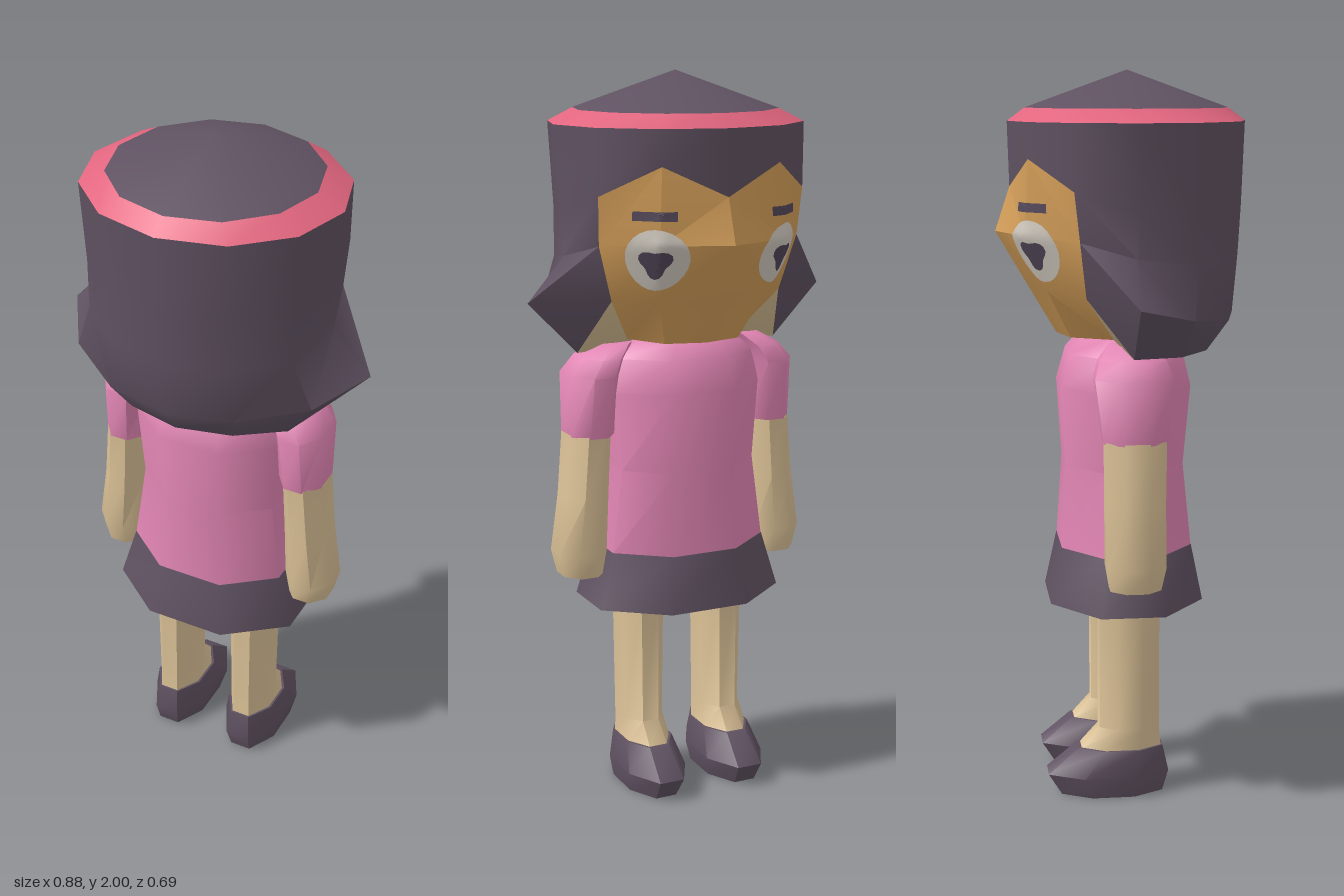
import * as THREE from 'three';
import { toCreasedNormals } from 'three/addons/utils/BufferGeometryUtils.js';

const paint = (name, color) => Object.assign(new THREE.MeshStandardMaterial({ color }), { name });

// Turns a flat list of Vector3 corners (three per triangle) into a mesh
function meshFrom(name, corners, material, crease = 0.7) {
  let geo = new THREE.BufferGeometry().setFromPoints(corners);
  geo = toCreasedNormals(geo, crease);
  const mesh = new THREE.Mesh(geo, material);
  mesh.name = name;
  return mesh;
}

// Horizontal elliptical ring, anticlockwise from above; sides flat against the axes
function ring(y, cx, cz, rx, rz, n = 8) {
  const grow = 1 / Math.cos(Math.PI / n);
  return Array.from({ length: n }, (_, i) => {
    const a = ((i + 0.5) / n) * Math.PI * 2;
    return new THREE.Vector3(cx + Math.cos(a) * rx * grow, y, cz - Math.sin(a) * rz * grow);
  });
}

// Closed skin over rings listed from bottom to top
function loft(name, rings, material, crease) {
  const out = [];
  const n = rings[0].length;
  for (let r = 0; r < rings.length - 1; r++) {
    for (let i = 0; i < n; i++) {
      const j = (i + 1) % n, lo = rings[r], hi = rings[r + 1];
      out.push(lo[i], lo[j], hi[j], lo[i], hi[j], hi[i]);
    }
  }
  const bottom = rings[0], top = rings[rings.length - 1];
  for (let i = 1; i < n - 1; i++) {
    out.push(bottom[0], bottom[i + 1], bottom[i], top[0], top[i], top[i + 1]);
  }
  return meshFrom(name, out, material, crease);
}

export function createModel() {
  const hairMat = paint('dark plum', 0x605262);
  const bandMat = paint('rose band', 0xe2667f);
  const faceMat = paint('face tan', 0xd6a05a);
  const skinMat = paint('pale skin', 0xdcc297);
  const shirtMat = paint('pink shirt', 0xe286b4);
  const whiteMat = paint('eye white', 0xd6cfc4);
  const pupilMat = paint('pupil dark', 0x54485a);

  const model = new THREE.Group();
  model.name = 'girl';

  // Head: half rows of seven columns, from the face centre (-z) round to the back
  const V = (x, y, z) => new THREE.Vector3(x, y, z);
  const halfRing = (y, rx, rz) => Array.from({ length: 7 }, (_, i) => {
    const a = (i / 6) * Math.PI;
    return V(Math.sin(a) * rx, y, 0.015 - Math.cos(a) * rz);
  });
  const inner = halfRing(1.9, 0.28, 0.277);
  const rows = [
    halfRing(1.865, 0.353, 0.325),
    [V(0, 1.69, -0.305), V(0.17, 1.77, -0.265), V(0.3, 1.69, -0.155), V(0.337, 1.64, 0.01),
      V(0.295, 1.64, 0.17), V(0.17, 1.64, 0.285), V(0, 1.64, 0.332)],
    [V(0, 1.57, -0.345), V(0.18, 1.57, -0.275), V(0.293, 1.56, -0.14), V(0.333, 1.52, 0.005),
      V(0.295, 1.5, 0.17), V(0.17, 1.5, 0.282), V(0, 1.5, 0.324)],
    [V(0, 1.42, -0.257), V(0.155, 1.42, -0.215), V(0.25, 1.41, -0.12), V(0.44, 1.4, 0),
      V(0.345, 1.36, 0.155), V(0.18, 1.34, 0.27), V(0, 1.34, 0.31)],
    [V(0, 1.29, -0.18), V(0.11, 1.29, -0.15), V(0.17, 1.29, -0.04), V(0.3, 1.255, 0),
      V(0.27, 1.255, 0.13), V(0.15, 1.255, 0.215), V(0, 1.255, 0.25)],
  ];
  const bins = { cap: [], band: [], hair: [], face: [], jaw: [] };
  const flip = (p) => V(-p.x, p.y, p.z);
  const tri = (bin, a, b, c) => bins[bin].push(a, b, c, flip(a), flip(c), flip(b));
  const apex = V(0, 2, 0.015), under = V(0, 1.27, 0.02);
  for (let i = 0; i < 6; i++) {
    tri('cap', apex, inner[i + 1], inner[i]);
    tri('band', inner[i], inner[i + 1], rows[0][i + 1]);
    tri('band', inner[i], rows[0][i + 1], rows[0][i]);
    for (let r = 0; r < 4; r++) {
      const up = rows[r], low = rows[r + 1];
      const bin = r > 0 && i < 2 ? 'face' : 'hair';
      tri(bin, up[i], up[i + 1], low[i + 1]);
      tri(r === 3 && i === 2 ? 'jaw' : bin, up[i], low[i + 1], low[i]);
    }
    tri(i < 3 ? 'jaw' : 'hair', rows[4][i], rows[4][i + 1], under);
  }
  const head = new THREE.Group();
  head.name = 'head';
  head.add(
    meshFrom('hairCrown', bins.cap, hairMat),
    meshFrom('headband', bins.band, bandMat),
    meshFrom('hair', bins.hair, hairMat, 0.8),
    meshFrom('face', bins.face, faceMat, 0.6),
    meshFrom('jaw', bins.jaw, skinMat),
  );

  // Point on the face: u counts columns from the centre, lift stands off the skin
  function facePoint(u, y, lift) {
    const onColumn = (c) => {
      const r = y > rows[2][c].y ? 1 : 2;
      const a = rows[r][c], b = rows[r + 1][c];
      return a.clone().lerp(b, (a.y - y) / (a.y - b.y));
    };
    const c = Math.min(1, Math.floor(u));
    const p = onColumn(c).lerp(onColumn(c + 1), u - c);
    const k = 1 + lift / Math.hypot(p.x, p.z);
    return V(p.x * k, y, p.z * k);
  }
  // Thin disc that follows the face; shape gives the radius at each angle
  function decal(name, u0, y0, ru, ry, lift, shape, material) {
    const out = [], rings = 6, n = 24;
    const at = (r, i) => {
      const a = (i / n) * Math.PI * 2, s = (r / rings) * shape(a);
      return facePoint(u0 + Math.cos(a) * ru * s, y0 + Math.sin(a) * ry * s, lift);
    };
    for (let r = 0; r < rings; r++) {
      for (let i = 0; i < n; i++) {
        const a = at(r, i), b = at(r + 1, i), c = at(r + 1, i + 1), d = at(r, i + 1);
        out.push(a, c, b);
        if (r > 0) out.push(a, d, c);
      }
    }
    const both = [...out];
    for (let i = 0; i < out.length; i += 3) both.push(flip(out[i]), flip(out[i + 2]), flip(out[i + 1]));
    head.add(meshFrom(name, both, material, 0.6));
  }
  const box = (a) => 1 / Math.max(Math.abs(Math.cos(a)), Math.abs(Math.sin(a)));
  decal('eyeWhites', 1.08, 1.53, 0.5, 0.082, 0.006, () => 1, whiteMat);
  decal('pupils', 1.08, 1.523, 0.24, 0.036, 0.01, (a) => 1 + 0.22 * Math.cos(3 * (a + Math.PI / 2)), pupilMat);
  decal('eyebrows', 1.1, 1.645, 0.34, 0.012, 0.007, box, pupilMat);
  model.add(head);

  // Neck, shirt and skirt
  model.add(
    loft('neck', [ring(1.2, 0, 0, 0.1, 0.09), ring(1.33, 0, 0, 0.1, 0.09)], skinMat),
    loft('shirt', [
      ring(0.7, 0, 0.004, 0.23, 0.18), ring(0.93, 0, 0, 0.2, 0.162),
      ring(1.15, 0, 0.003, 0.215, 0.178), ring(1.24, 0, 0.005, 0.2, 0.155), ring(1.29, 0, 0, 0.14, 0.11),
    ], shirtMat, 0.9),
    loft('skirt', [ring(0.545, 0, 0.003, 0.275, 0.212), ring(0.7, 0, 0.004, 0.231, 0.181)], hairMat, 0.9),
  );

  // Arms and legs on both sides
  for (const s of [1, -1]) {
    const side = s > 0 ? 'left' : 'right';
    model.add(
      loft(side + 'Sleeve', [
        ring(1.03, s * 0.27, 0.006, 0.064, 0.085), ring(1.2, s * 0.262, 0.003, 0.072, 0.105),
        ring(1.245, s * 0.235, 0.002, 0.062, 0.09), ring(1.28, s * 0.19, 0, 0.045, 0.055),
      ], shirtMat, 0.95),
      loft(side + 'Arm', [
        ring(0.635, s * 0.297, 0.003, 0.06, 0.068), ring(0.7, s * 0.302, 0.004, 0.07, 0.08),
        ring(0.86, s * 0.287, 0.004, 0.062, 0.08), ring(1.035, s * 0.275, 0.006, 0.059, 0.082),
      ], skinMat, 0.9),
      loft(side + 'Leg', [
        ring(0.13, s * 0.122, -0.018, 0.064, 0.113), ring(0.19, s * 0.122, 0.006, 0.058, 0.084),
        ring(0.56, s * 0.122, 0.006, 0.063, 0.084),
      ], skinMat, 0.9),
      loft(side + 'Shoe', [
        ring(0, s * 0.124, -0.043, 0.074, 0.142), ring(0.06, s * 0.122, -0.053, 0.087, 0.169),
        ring(0.133, s * 0.122, -0.018, 0.07, 0.118),
      ], hairMat, 0.8),
    );
  }
  return model;
}
